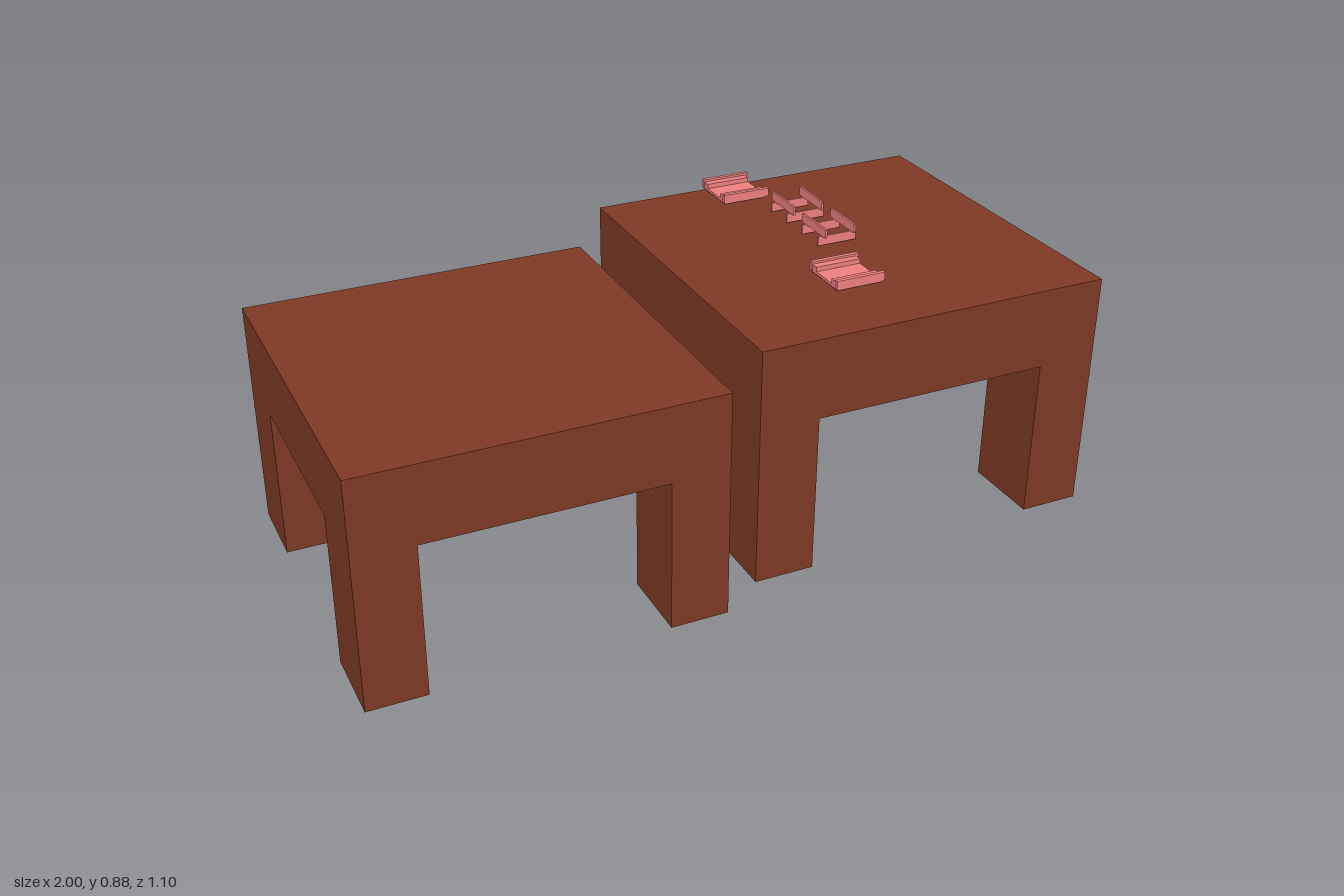
import * as THREE from 'three';

const brown = new THREE.MeshStandardMaterial({ color: 0x7f3a25 });
const pink = new THREE.MeshStandardMaterial({ color: 0xf08080 });

// Box given by its extents along each axis
function box(name, material, [x0, x1], [y0, y1], [z0, z1]) {
  const mesh = new THREE.Mesh(new THREE.BoxGeometry(x1 - x0, y1 - y0, z1 - z0), material);
  mesh.position.set((x0 + x1) / 2, (y0 + y1) / 2, (z0 + z1) / 2);
  mesh.name = name;
  return mesh;
}

// Thick square table: a slab on four corner legs; origin at the bottom centre
function table(name) {
  const g = new THREE.Group();
  g.name = name;
  const h = 0.495, legX = 0.165, legZ = 0.22, under = 0.44, top = 0.66;
  g.add(box('tableTop', brown, [-h, h], [under, top], [-h, h]));
  for (const sx of [-1, 1]) for (const sz of [-1, 1]) {
    const leg = new THREE.Mesh(new THREE.BoxGeometry(legX, under, legZ), brown);
    leg.position.set(sx * (h - legX / 2), under / 2, sz * (h - legZ / 2));
    leg.name = 'leg';
    g.add(leg);
  }
  return g;
}

// Tray with a raised block and a longer rail at both ends
function tray(z) {
  const g = new THREE.Group();
  g.name = 'tray';
  g.add(box('trayBase', pink, [-0.065, 0.065], [0, 0.008], [-0.07, 0.07]));
  for (const s of [-1, 1]) {
    const block = box('endBlock', pink, [-0.065, 0.065], [0, 0.021], [-0.011, 0.011]);
    block.position.z = s * 0.05;
    const rail = box('endRail', pink, [-0.067, 0.073], [0.003, 0.027], [-0.006, 0.006]);
    rail.position.z = s * 0.066;
    g.add(block, rail);
  }
  g.position.set(0.402, 0.825, z);
  return g;
}

// Open frame: two runners along x carrying two upright slats along z
function frame(z) {
  const g = new THREE.Group();
  g.name = 'openFrame';
  for (const s of [-1, 1]) {
    const runner = box('runner', pink, [-0.058, 0.058], [0, 0.026], [-0.003, 0.003]);
    runner.position.z = s * 0.044;
    const slat = box('slat', pink, [-0.003, 0.003], [0.026, 0.051], [-0.064, 0.064]);
    slat.position.x = s * 0.044;
    g.add(runner, slat);
  }
  g.position.set(0.49, 0.825, z);
  return g;
}

export function createModel() {
  const model = new THREE.Group();
  model.name = 'steppedTables';

  const low = table('lowTable');
  low.position.set(-0.505, 0, -0.055);
  const high = table('highTable');
  high.position.set(0.505, 0.16, 0.055);
  model.add(low, high);

  // Small peg in the gap between the tables
  model.add(box('peg', brown, [-0.012, 0.012], [0.285, 0.297], [-0.288, -0.268]));

  // Small pieces laid out along the high table
  for (const z of [0.265, -0.373]) model.add(tray(z));
  for (const z of [0.019, -0.157]) model.add(frame(z));
  return model;
}
